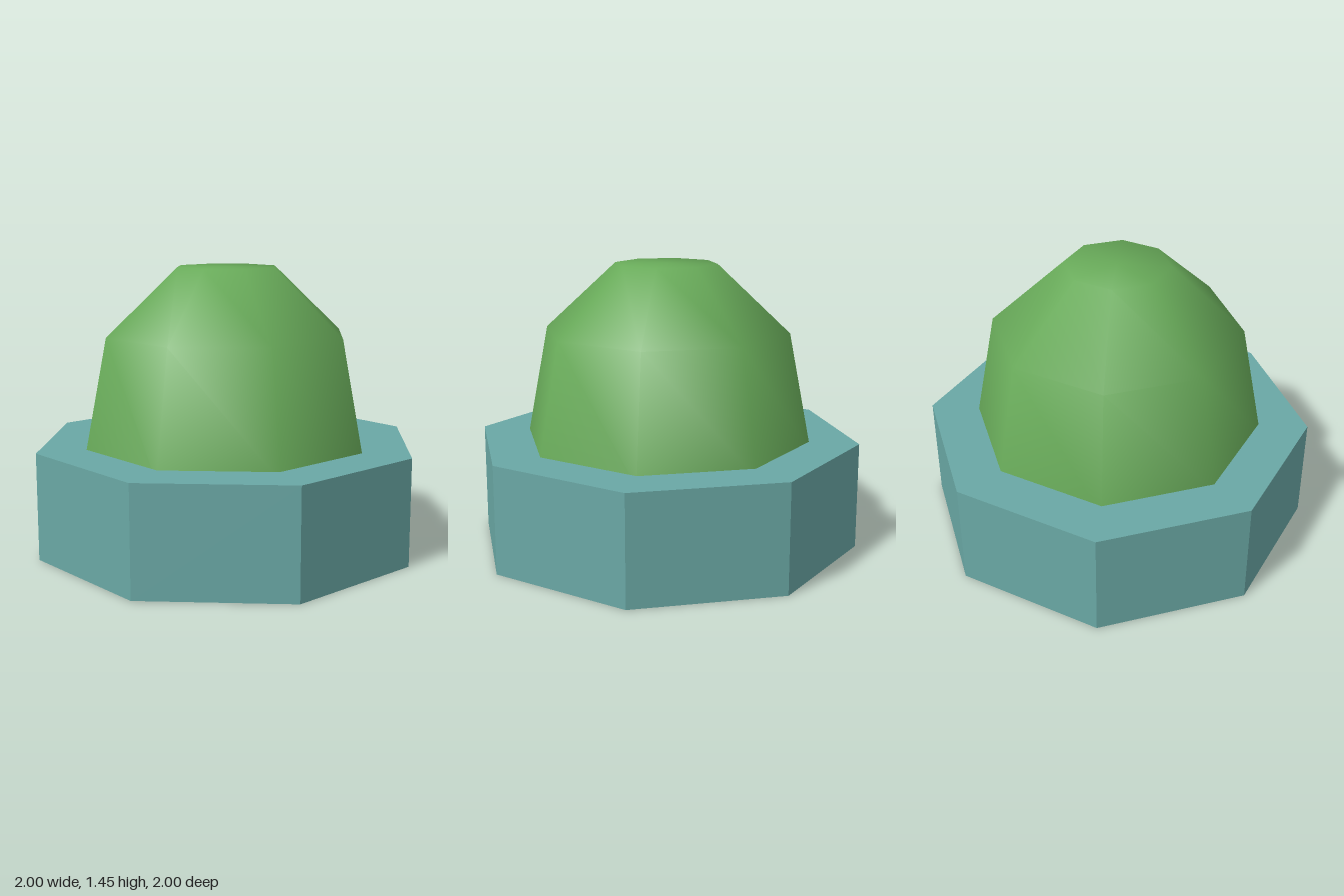
import * as THREE from 'three';

export function createModel() {
  const model = new THREE.Group();
  const teal = new THREE.MeshStandardMaterial({ name: 'teal', color: 0x6aa8a5 });
  teal.flatShading = true;
  const green = new THREE.MeshStandardMaterial({ name: 'leafGreen', color: 0x68aa59 });

  // Eight-sided planter with corners on the x and z axes
  const height = 0.55;
  const planter = new THREE.Mesh(new THREE.CylinderGeometry(1, 1, height, 8), teal);
  planter.name = 'planter';
  planter.position.y = height / 2;
  model.add(planter);

  // Smooth-shaded dome with a flat crown, seated slightly inside the planter
  const profile = [[0.755, 0.5], [0.635, 1.11], [0.264, 1.452], [0, 1.452]]
    .map(([r, y]) => new THREE.Vector2(r, y));
  const dome = new THREE.Mesh(new THREE.LatheGeometry(profile, 8), green);
  dome.name = 'dome';
  model.add(dome);

  return model;
}
